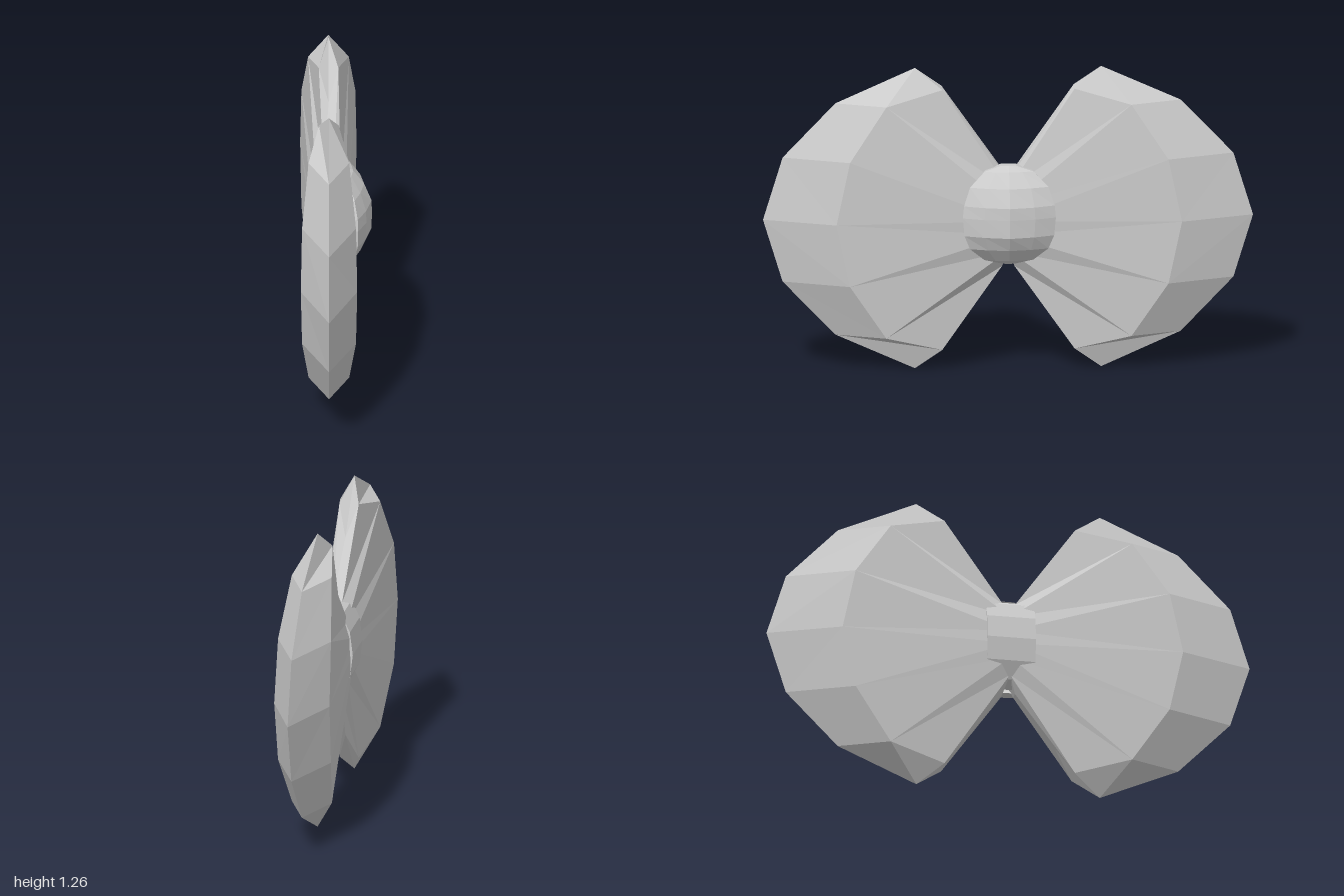
import * as THREE from 'three';

const material = new THREE.MeshStandardMaterial({ color: 0xcccccc, flatShading: true });

// Joins closed cross-sections of equal point count into a capped solid, facing outwards.
function loft(name, sections) {
  const tris = [];
  const n = sections[0].length;
  for (let i = 0; i < sections.length - 1; i++) {
    const a = sections[i], b = sections[i + 1];
    for (let j = 0; j < n; j++) {
      const k = (j + 1) % n;
      tris.push([a[j], a[k], b[k]], [a[j], b[k], b[j]]);
    }
  }
  const cap = (s, flip) => {
    const mid = [0, 1, 2].map(c => s.reduce((sum, p) => sum + p[c], 0) / n);
    for (let j = 0; j < n; j++) {
      const k = (j + 1) % n;
      tris.push(flip ? [mid, s[k], s[j]] : [mid, s[j], s[k]]);
    }
  };
  cap(sections[0], true);
  cap(sections[sections.length - 1], false);

  // A negative volume means the faces point inwards
  const centre = new THREE.Vector3(...sections[0][0]);
  let volume = 0;
  for (const t of tris) {
    const [a, b, c] = t.map(p => new THREE.Vector3(...p).sub(centre));
    volume += a.dot(b.cross(c));
  }
  if (volume < 0) tris.forEach(t => t.reverse());

  const geometry = new THREE.BufferGeometry();
  geometry.setAttribute('position', new THREE.Float32BufferAttribute(tris.flat(2), 3));
  geometry.computeVertexNormals();
  const mesh = new THREE.Mesh(geometry, material);
  mesh.name = name;
  return mesh;
}

const MID_X = -0.03, MID_Y = 0.635;

// Upper half of a wing, from its top edge to the middle:
// rim [z, y], ridge [z, y, half thickness], root [z, y, half thickness]; y from the wing's middle
const wingHalf = [
  [[0.38, 0.63], [0.27, 0.545, 0.04], [0.025, 0.2, 0.02]],
  [[0.705, 0.485], [0.5, 0.485, 0.083], [0, 0.13, 0.05]],
  [[0.92, 0.26], [0.65, 0.26, 0.11], [0, 0.06, 0.07]],
  [[1, 0], [0.705, 0, 0.115], [0, 0, 0.075]],
];

function makeWing(name, side) {
  const section = ([rim, ridge, root], up) => {
    const point = ([z, y, t = 0], face) => [MID_X + t * face, MID_Y + y * up, z * side];
    return [point(rim, 0), point(ridge, 1), point(root, 1), point(root, -1), point(ridge, -1)];
  };
  const upper = wingHalf.map(s => section(s, 1));
  const lower = wingHalf.slice(0, 3).reverse().map(s => section(s, -1));
  return loft(name, [...upper, ...lower]);
}

// Domed knot: rows of [y, half width, rim x, crest x]
function makeKnot() {
  const rows = [
    [0.455, 0.03, 0.03, 0.04],
    [0.475, 0.1, 0.05, 0.075],
    [0.527, 0.16, 0.075, 0.115],
    [0.585, 0.183, 0.088, 0.145],
    [0.66, 0.19, 0.09, 0.146],
    [0.71, 0.185, 0.088, 0.145],
    [0.785, 0.16, 0.075, 0.115],
    [0.845, 0.1, 0.05, 0.07],
    [0.865, 0.03, 0.03, 0.04],
  ];
  const across = [[-1, 0], [-0.55, 0.6], [0, 1], [0.55, 0.6], [1, 0]];
  return loft('knot', rows.map(([y, w, rim, crest]) => [
    ...across.map(([u, h]) => [rim + (crest - rim) * h, y, w * u]),
    [rim - 0.04, y, w * 0.95],
    [rim - 0.04, y, -w * 0.95],
  ]));
}

// Band that wraps round the back of the wings behind the knot
function makeBand() {
  const geometry = new THREE.CylinderGeometry(1, 1, 0.2, 12);
  geometry.rotateX(Math.PI / 2);
  geometry.scale(0.09, 0.195, 1);
  const band = new THREE.Mesh(geometry, material);
  band.position.set(MID_X, 0.655, 0);
  band.name = 'band';
  return band;
}

export function createModel() {
  const bow = new THREE.Group();
  bow.name = 'bow';
  bow.add(makeWing('frontWing', 1), makeWing('backWing', -1), makeKnot(), makeBand());
  return bow;
}
